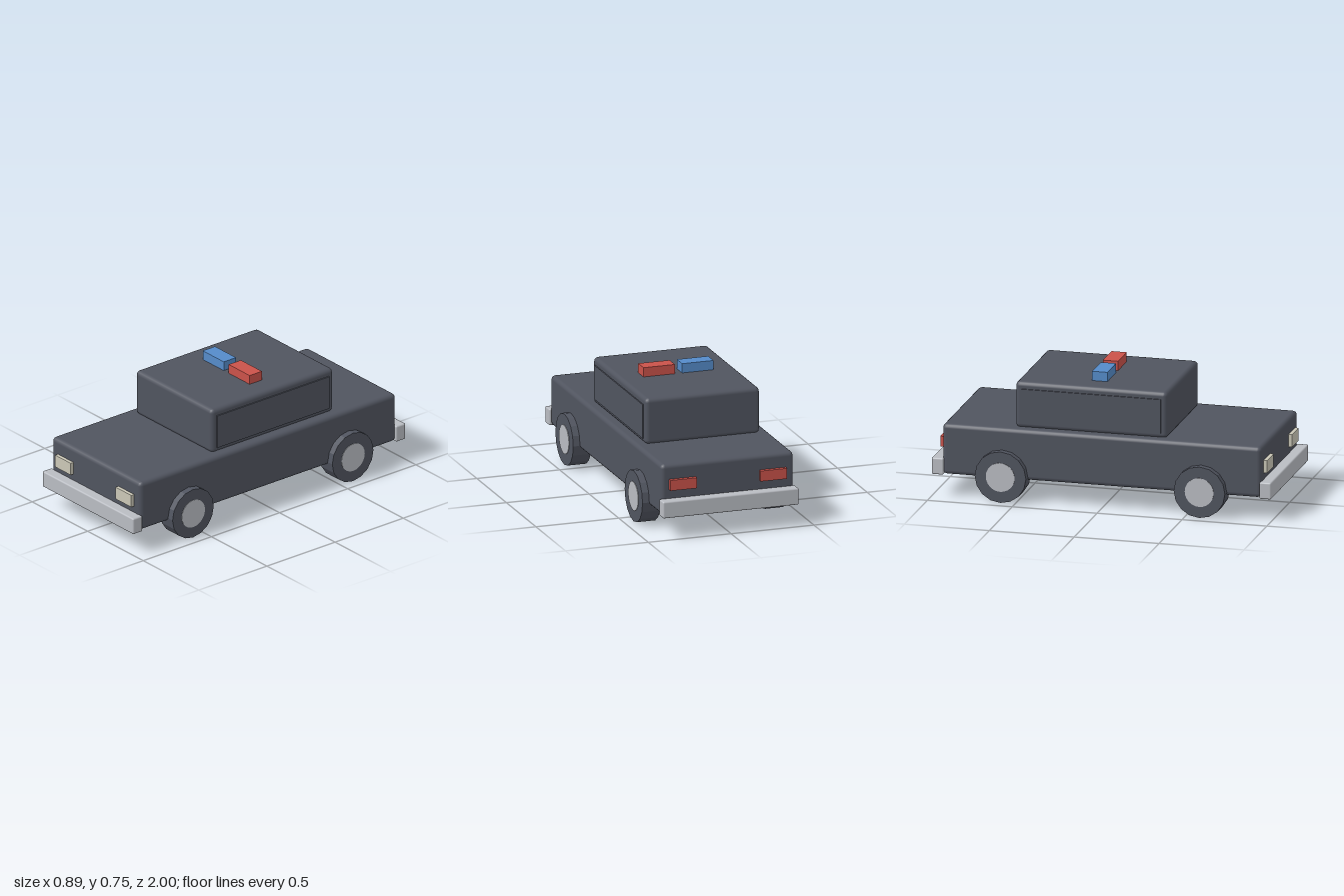
import * as THREE from 'three';
import { RoundedBoxGeometry } from 'three/addons/geometries/RoundedBoxGeometry.js';

const makeMaterial = (name, color) => {
  const m = new THREE.MeshStandardMaterial({ color });
  m.name = name;
  return m;
};

export function createModel() {
  const car = new THREE.Group();
  car.name = 'patrolCar';

  const paint = makeMaterial('darkPaint', 0x50545f);
  const metal = makeMaterial('lightMetal', 0xb9bcc2);
  const cream = makeMaterial('headlightCream', 0xcac7b7);
  const red = makeMaterial('lampRed', 0xca524a);
  const blue = makeMaterial('beaconBlue', 0x558bc9);

  const add = (name, geometry, material, parent = car) => {
    const mesh = new THREE.Mesh(geometry, material);
    mesh.name = name;
    parent.add(mesh);
    return mesh;
  };

  // Box given by its min and max corners; a radius rounds its edges
  const box = (name, material, [x0, y0, z0], [x1, y1, z1], radius = 0) => {
    const size = [x1 - x0, y1 - y0, z1 - z0];
    const geometry = radius
      ? new RoundedBoxGeometry(...size, 2, radius)
      : new THREE.BoxGeometry(...size);
    add(name, geometry, material).position.set((x0 + x1) / 2, (y0 + y1) / 2, (z0 + z1) / 2);
  };

  // Lower body and cabin
  box('body', paint, [-0.4, 0.132, -0.939], [0.4, 0.43, 0.939], 0.025);
  box('cabin', paint, [-0.345, 0.425, -0.523], [0.345, 0.697, 0.371], 0.025);

  // Bumpers
  box('frontBumper', metal, [-0.41, 0.13, 0.93], [0.41, 0.228, 1], 0.009);
  box('rearBumper', metal, [-0.41, 0.13, -1], [0.41, 0.228, -0.93], 0.009);

  // Mirrored side windows, headlights and tail lights
  for (const s of [1, -1]) {
    const side = s > 0 ? 'left' : 'right';
    const mirrored = (name, material, [x0, y0, z0], [x1, y1, z1]) =>
      box(side + name, material,
        [Math.min(s * x0, s * x1), y0, z0], [Math.max(s * x0, s * x1), y1, z1]);
    mirrored('SideWindow', paint, [0.344, 0.455, -0.487], [0.352, 0.656, 0.335]);
    mirrored('Headlight', cream, [0.202, 0.267, 0.93], [0.343, 0.341, 0.96]);
    mirrored('TailLight', red, [0.192, 0.28, -0.963], [0.352, 0.342, -0.93]);
  }

  // Roof beacons
  box('redBeacon', red, [0.021, 0.69, -0.107], [0.21, 0.752, -0.017]);
  box('blueBeacon', blue, [-0.212, 0.69, -0.107], [-0.023, 0.752, -0.017]);

  // Wheels: faceted tyre with a hub showing on both faces
  const tyreGeometry = new THREE.CylinderGeometry(0.151, 0.151, 0.11, 16)
    .toNonIndexed().rotateZ(Math.PI / 2);
  tyreGeometry.computeVertexNormals();
  const hubGeometry = new THREE.CylinderGeometry(0.085, 0.085, 0.116, 24).rotateZ(Math.PI / 2);
  for (const x of [0.386, -0.386]) {
    for (const z of [0.586, -0.586]) {
      const wheel = new THREE.Group();
      wheel.name = (z > 0 ? 'front' : 'rear') + (x > 0 ? 'Left' : 'Right') + 'Wheel';
      wheel.position.set(x, 0.151, z);
      add('tyre', tyreGeometry, paint, wheel);
      add('hub', hubGeometry, metal, wheel);
      car.add(wheel);
    }
  }
  return car;
}
